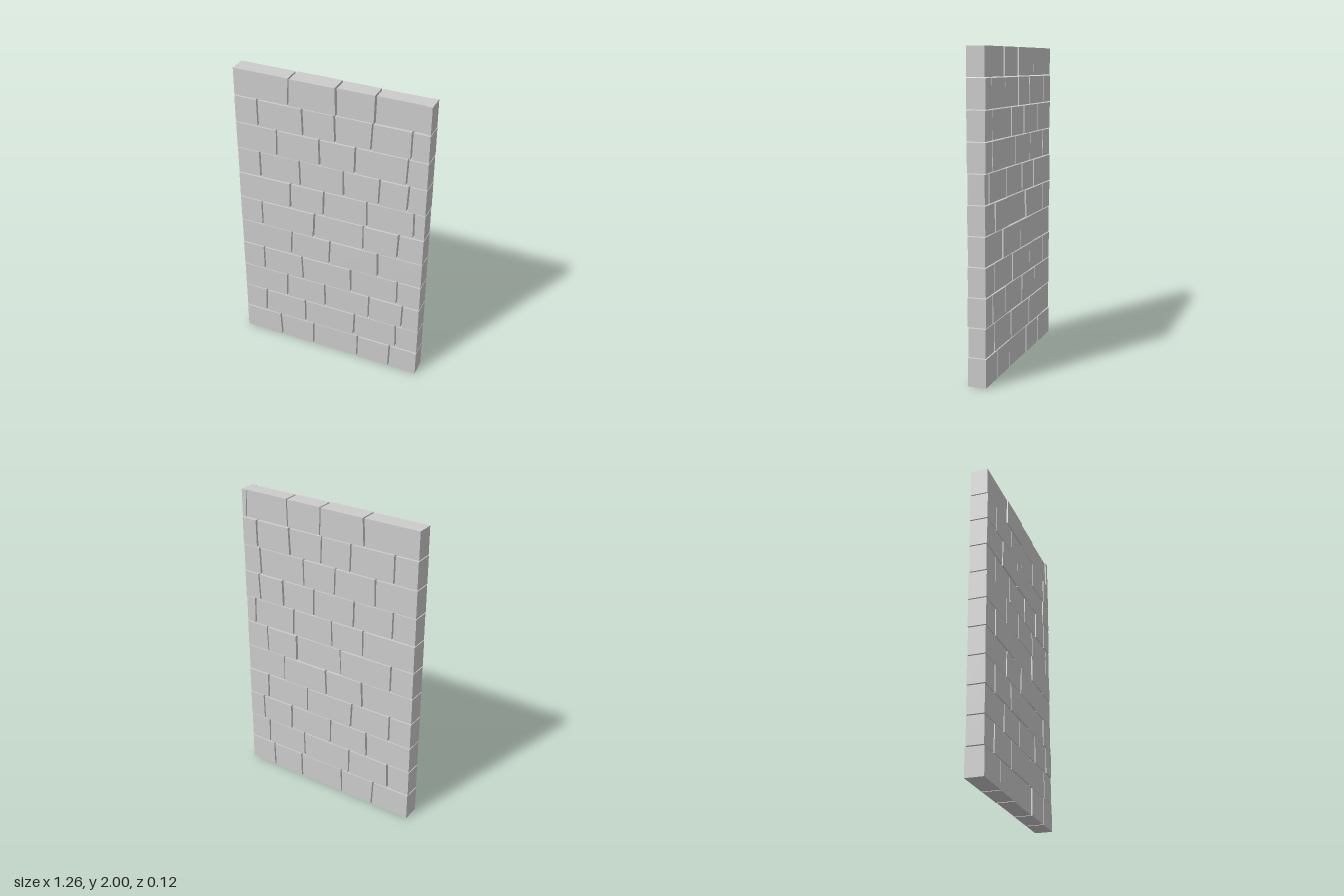
import * as THREE from 'three';

const LEFT = -0.633, RIGHT = 0.627;
const PITCH = 0.1824, HEIGHT = 0.176, GAP = 0.011;

// centres of the upright joints, one list per course from the ground up
const COURSES = [
  [-0.367, -0.122, 0.204, 0.436],
  [-0.477, -0.18, 0.178, 0.475],
  [-0.312, -0.034, 0.28, 0.513],
  [-0.478, -0.195, 0.151, 0.471],
  [-0.272, 0, 0.333],
  [-0.478, -0.109, 0.23, 0.463],
  [-0.272, -0.042, 0.251, 0.558],
  [-0.478, -0.203, 0.093, 0.328, 0.513],
  [-0.354, -0.066, 0.167, 0.5],
  [-0.478, -0.177, 0.034, 0.27, 0.518],
  [-0.267, 0.042, 0.286, 0.597],
];
// half depths of the top course
const TOP_DEPTHS = [0.055, 0.059, 0.053, 0.048, 0.056];

// small seeded generator, -1..1
function makeRandom(seed) {
  return () => {
    seed = (seed * 16807) % 2147483647;
    return (seed / 2147483647) * 2 - 1;
  };
}

// box whose two ends lean by their own amount
function brickGeometry(x0, x1, lean0, lean1, depth) {
  const geo = new THREE.BoxGeometry(1, HEIGHT, depth * 2);
  const p = geo.attributes.position;
  for (let i = 0; i < p.count; i++) {
    const up = Math.sign(p.getY(i));
    p.setX(i, p.getX(i) < 0 ? x0 + lean0 * up : x1 + lean1 * up);
  }
  geo.computeVertexNormals();
  return geo;
}

export function createModel() {
  const wall = new THREE.Group();
  wall.name = 'brickWall';
  const material = new THREE.MeshStandardMaterial({ color: 0xcccccc, flatShading: true });
  const random = makeRandom(4711);

  COURSES.forEach((joints, row) => {
    const course = new THREE.Group();
    course.name = `course${row + 1}`;
    course.position.y = row * PITCH + HEIGHT / 2;
    const isTop = row === COURSES.length - 1;
    const edges = [LEFT, ...joints, RIGHT];
    // every joint leans a little, the wall ends stay upright
    const leans = edges.map((e, i) => (i === 0 || i === edges.length - 1 ? 0 : random() * 0.005));

    for (let i = 0; i < edges.length - 1; i++) {
      const last = i === edges.length - 2;
      // the closing piece of the top course sits tight against its neighbour
      const gap0 = i === 0 || (isTop && last) ? 0 : GAP / 2;
      const gap1 = last || (isTop && i === edges.length - 3) ? 0 : GAP / 2;
      const depth = isTop ? TOP_DEPTHS[i] : 0.056 + random() * 0.003;
      const brick = new THREE.Mesh(
        brickGeometry(edges[i] + gap0, edges[i + 1] - gap1, leans[i], leans[i + 1], depth),
        material
      );
      brick.name = `brick${i + 1}`;
      brick.position.z = -0.002 + random() * 0.001;
      course.add(brick);
    }
    wall.add(course);
  });
  return wall;
}
